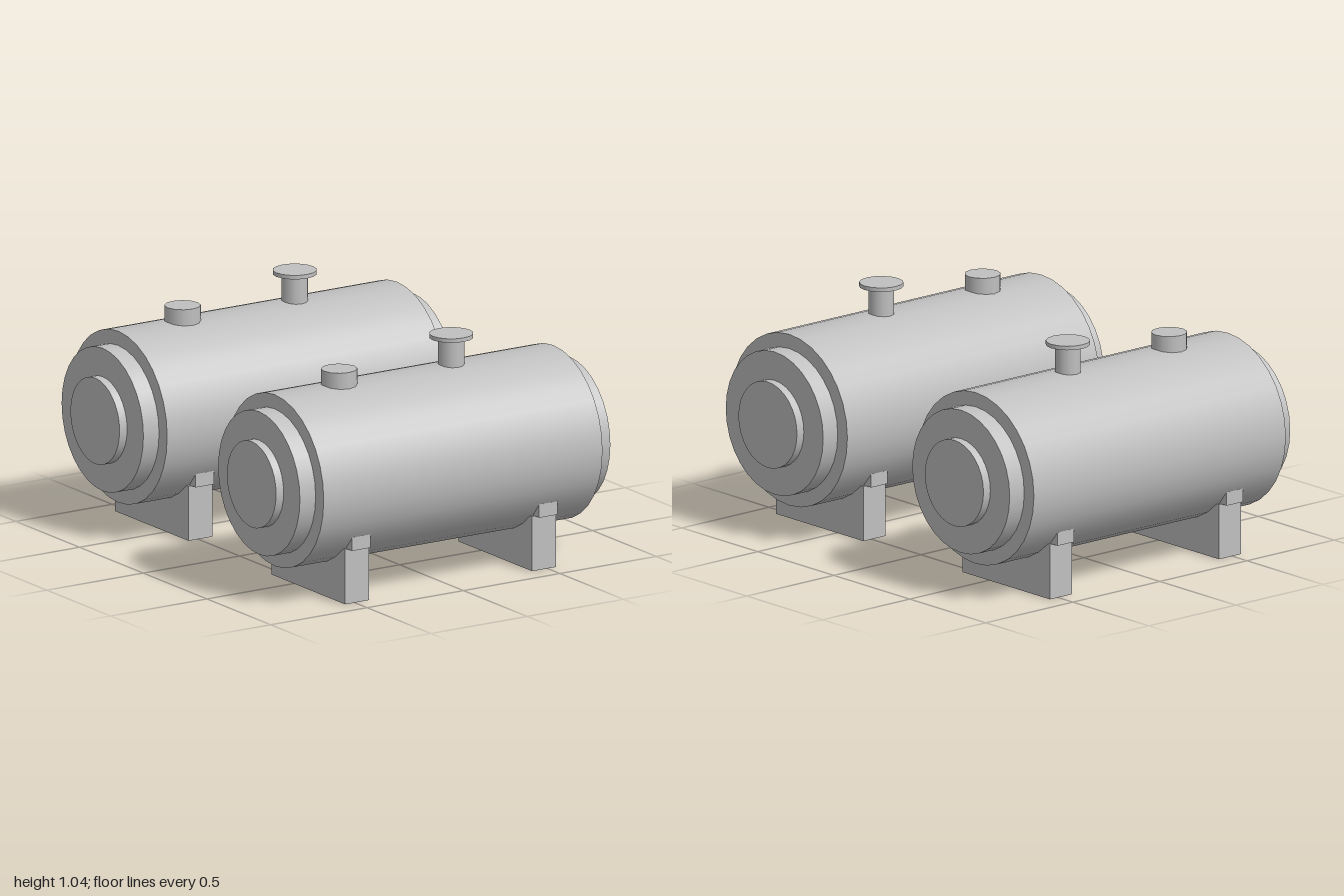
import * as THREE from 'three';

const grey = new THREE.MeshStandardMaterial({ color: 0xc0c0c0 });
grey.name = 'light grey metal';

const AXIS_Y = 0.517; // height of the tank axis

function add(parent, name, geometry, x, y, z = 0) {
  const mesh = new THREE.Mesh(geometry, grey);
  mesh.name = name;
  mesh.position.set(x, y, z);
  parent.add(mesh);
  return mesh;
}

// Upright cylinder between two heights
function upright(parent, name, radius, y0, y1, x, sides) {
  add(parent, name, new THREE.CylinderGeometry(radius, radius, y1 - y0, sides), x, (y0 + y1) / 2);
}

// Cylinder lying along x between two positions
function lying(parent, name, radius, x0, x1) {
  const geometry = new THREE.CylinderGeometry(radius, radius, x1 - x0, 32).rotateZ(Math.PI / 2);
  add(parent, name, geometry, (x0 + x1) / 2, AXIS_Y);
}

function createTank() {
  const tank = new THREE.Group();
  tank.name = 'tank';

  // Main shell with stepped ends
  lying(tank, 'shell', 0.385, -0.724, 0.722);
  for (const [side, s] of [['left', 1], ['right', -1]]) {
    const span = (a, b) => [Math.min(s * a, s * b), Math.max(s * a, s * b)];
    lying(tank, side + 'EndStep', 0.321, ...span(0.7, 0.805));
    lying(tank, side + 'EndCap', 0.193, ...span(0.78, 0.844));
  }

  // Saddle supports, each with a narrower clamp block on top
  for (const [side, x] of [['left', 0.483], ['right', -0.487]]) {
    add(tank, side + 'Saddle', new THREE.BoxGeometry(0.125, 0.245, 0.577), x, 0.1225);
    add(tank, side + 'Clamp', new THREE.BoxGeometry(0.095, 0.06, 0.643), x, 0.275);
  }

  // Fittings on top: a plain hatch and a flanged nozzle
  upright(tank, 'hatch', 0.079, 0.8, 0.968, -0.39, 12);
  upright(tank, 'nozzleNeck', 0.057, 0.8, 1.025, 0.192, 12);
  upright(tank, 'nozzleFlange', 0.096, 1.02, 1.038, 0.192, 16);
  return tank;
}

export function createModel() {
  const model = new THREE.Group();
  model.name = 'twinStorageTanks';
  for (const [name, z] of [['frontTank', 0.614], ['backTank', -0.614]]) {
    const tank = createTank();
    tank.name = name;
    tank.position.z = z;
    model.add(tank);
  }
  return model;
}
